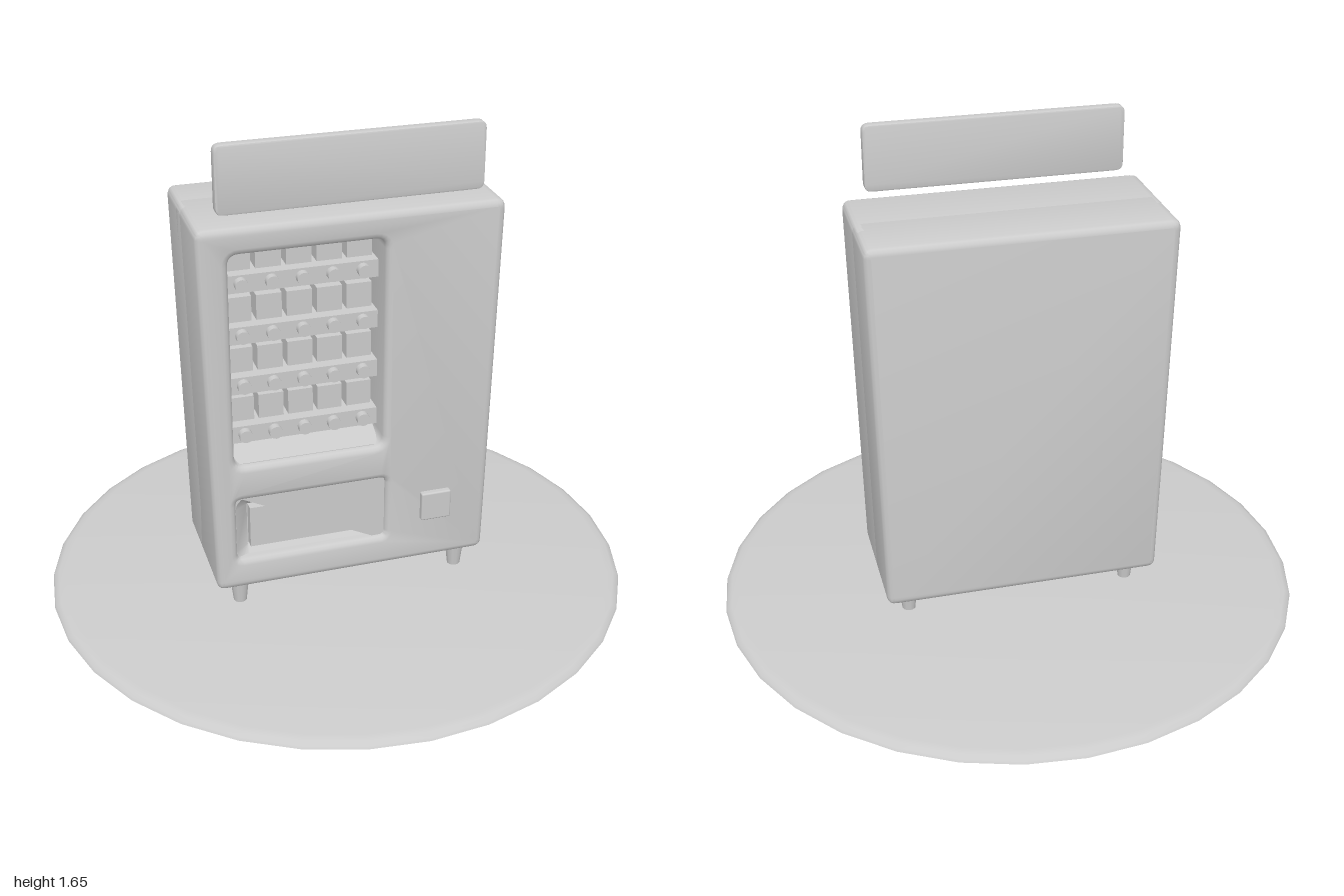
import * as THREE from 'three';
import { toCreasedNormals } from 'three/addons/utils/BufferGeometryUtils.js';
import { RoundedBoxGeometry } from 'three/addons/geometries/RoundedBoxGeometry.js';

const grey = new THREE.MeshStandardMaterial({ color: 0xcccccc });

function add(parent, name, geometry, x = 0, y = 0, z = 0) {
  const mesh = new THREE.Mesh(geometry, grey);
  mesh.name = name;
  mesh.position.set(x, y, z);
  parent.add(mesh);
  return mesh;
}

// Rounded four-sided outline, optionally narrower at the bottom by `taper` per side
function outline(x0, x1, y0, y1, r, taper = 0, Type = THREE.Shape) {
  const s = new Type();
  const l = x0 + taper, q = x1 - taper;
  s.moveTo(l + r, y0);
  s.lineTo(q - r, y0);
  s.quadraticCurveTo(q, y0, q, y0 + r);
  s.lineTo(x1, y1 - r);
  s.quadraticCurveTo(x1, y1, x1 - r, y1);
  s.lineTo(x0 + r, y1);
  s.quadraticCurveTo(x0, y1, x0, y1 - r);
  s.lineTo(l, y0 + r);
  s.quadraticCurveTo(l, y0, l + r, y0);
  return s;
}
const hole = (x0, x1, y0, y1, r) => outline(x0, x1, y0, y1, r, 0, THREE.Path);

// Extrusion between two z values; the bevel eats into the outline
function slab(shape, z0, z1, bevel = 0, segments = 3, thickness = bevel) {
  const g = new THREE.ExtrudeGeometry(shape, {
    depth: z1 - z0 - 2 * thickness, bevelEnabled: bevel > 0, bevelSize: bevel,
    bevelOffset: -bevel, bevelThickness: thickness, bevelSegments: segments, curveSegments: 5,
  });
  g.translate(0, 0, z0 + thickness);
  return toCreasedNormals(g, 0.6);
}

function box(parent, name, x0, x1, y0, y1, z0, z1) {
  return add(parent, name, new THREE.BoxGeometry(x1 - x0, y1 - y0, z1 - z0),
    (x0 + x1) / 2, (y0 + y1) / 2, (z0 + z1) / 2);
}

export function createModel() {
  const model = new THREE.Group();
  model.name = 'vendingMachine';

  // Round base with a softened rim
  const rim = [[0, 0], [0.985, 0], [1, 0.007], [0.995, 0.016], [0.98, 0.024], [0.955, 0.028], [0, 0.028]];
  const base = new THREE.LatheGeometry(rim.map(([x, y]) => new THREE.Vector2(x, y)), 32);
  add(model, 'base', toCreasedNormals(base, 0.7));

  // Cabinet: solid back half and a front shell opened for window and tray
  const cabinet = new THREE.Group();
  cabinet.name = 'cabinet';
  model.add(cabinet);
  const body = () => outline(-0.5, 0.5, 0.105, 1.4, 0.03, 0.027);
  add(cabinet, 'cabinetBack', slab(body(), -0.24, 0.0, 0.022));
  const front = body();
  front.holes.push(hole(-0.4, 0.105, 0.57, 1.31, 0.035), hole(-0.4, 0.115, 0.215, 0.445, 0.02));
  add(cabinet, 'cabinetFront', slab(front, -0.1, 0.205, 0.022));

  // Sloping sill at the foot of the window
  const sill = new THREE.Shape([[0, 0.56], [0.18, 0.56], [0.18, 0.572], [0, 0.612]]
    .map(([z, y]) => new THREE.Vector2(-z, y)));
  const sillGeometry = new THREE.ExtrudeGeometry(sill, { depth: 0.505, bevelEnabled: false });
  sillGeometry.rotateY(Math.PI / 2);
  add(cabinet, 'windowSill', sillGeometry, -0.4, 0, 0);

  // Sloped surround and flap of the delivery tray
  const surround = outline(-0.47, 0.18, 0.14, 0.51, 0.05);
  surround.holes.push(hole(-0.355, 0.07, 0.24, 0.4, 0.002));
  add(cabinet, 'traySurround', slab(surround, 0.08, 0.184, 0.045, 1, 0.035));
  box(cabinet, 'trayFlap', -0.35, 0.065, 0.245, 0.395, 0.0, 0.175);
  box(cabinet, 'trayBack', -0.38, 0.09, 0.22, 0.42, 0.0, 0.14);

  // Shelves with goods and round buttons
  const shelves = new THREE.Group();
  shelves.name = 'shelves';
  model.add(shelves);
  const button = new THREE.CylinderGeometry(0.022, 0.022, 0.04, 16).rotateX(Math.PI / 2);
  for (let row = 0; row < 4; row++) {
    const y = 0.648 + row * 0.178;
    box(shelves, 'shelf', -0.405, 0.11, y - 0.032, y + 0.028, -0.01, 0.12);
    for (let col = 0; col < 5; col++) {
      const x = -0.346 + col * 0.1;
      add(shelves, 'button', button, x, y, 0.125);
      box(shelves, 'product', x - 0.042, x + 0.042, y + 0.028, y + 0.114, -0.01, 0.08);
    }
  }

  // Payment box
  add(model, 'coinBox', new RoundedBoxGeometry(0.105, 0.105, 0.06, 2, 0.006), 0.29, 0.32, 0.195);

  // Floating sign panel above the cabinet
  add(model, 'sign', slab(outline(-0.43, 0.43, 1.435, 1.655, 0.025), 0.148, 0.184, 0.005, 2));

  // Four tapered feet
  const foot = new THREE.CylinderGeometry(0.033, 0.022, 0.095, 12);
  for (const x of [-0.388, 0.388]) {
    for (const z of [-0.15, 0.155]) add(model, 'foot', foot, x, 0.07, z);
  }
  return model;
}
